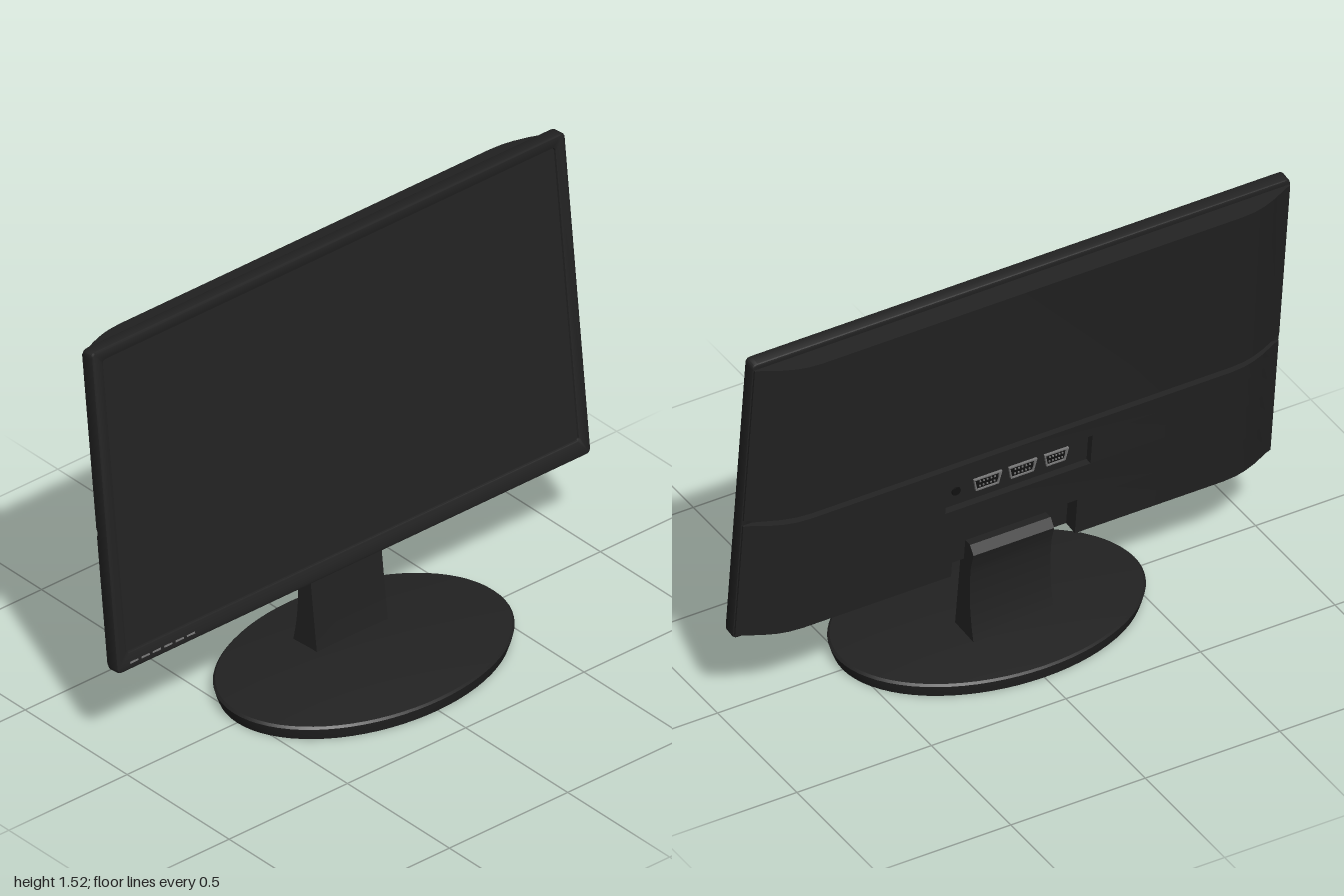
import * as THREE from 'three';
import { toCreasedNormals } from 'three/addons/utils/BufferGeometryUtils.js';

const mat = (name, color) => {
  const m = new THREE.MeshStandardMaterial({ color });
  m.name = name;
  return m;
};

export function createModel() {
  const plastic = mat('black plastic', 0x222222);
  const glass = mat('dark screen', 0x232323);
  const socket = mat('socket black', 0x121212);
  const grey = mat('grey marking', 0x777777);

  const model = new THREE.Group();
  model.name = 'monitor';
  const add = (parent, name, geo, material, x = 0, y = 0, z = 0) => {
    const m = new THREE.Mesh(geo, material);
    m.name = name;
    m.position.set(x, y, z);
    parent.add(m);
    return m;
  };
  const box = (parent, name, material, w, h, d, x, y, z) =>
    add(parent, name, new THREE.BoxGeometry(w, h, d), material, x, y, z);
  const polygon = (pts) => new THREE.Shape(pts.map(([x, y]) => new THREE.Vector2(x, y)));
  const roundedRect = (path, x0, y0, x1, y1, r) => {
    path.moveTo(x0 + r, y0);
    path.lineTo(x1 - r, y0).quadraticCurveTo(x1, y0, x1, y0 + r);
    path.lineTo(x1, y1 - r).quadraticCurveTo(x1, y1, x1 - r, y1);
    path.lineTo(x0 + r, y1).quadraticCurveTo(x0, y1, x0, y1 - r);
    path.lineTo(x0, y0 + r).quadraticCurveTo(x0, y0, x0 + r, y0);
    return path;
  };

  // Oval domed foot
  const footProfile = [[0, 0], [0.535, 0], [0.543, 0.02], [0.55, 0.043], [0.542, 0.051],
    [0.4, 0.066], [0.2, 0.078], [0, 0.082]].map(([x, y]) => new THREE.Vector2(x, y));
  const footGeo = new THREE.LatheGeometry(footProfile, 72);
  footGeo.scale(1, 1, 0.375 / 0.55);
  add(model, 'foot', toCreasedNormals(footGeo, 0.6), plastic);

  // Neck: side outline (backward, up) with a hollowed back and a flared top
  const neckShape = new THREE.Shape();
  neckShape.moveTo(0.055, 0.07);
  neckShape.lineTo(0.172, 0.07);
  neckShape.quadraticCurveTo(0.135, 0.22, 0.156, 0.36);
  neckShape.lineTo(0.172, 0.415);
  neckShape.lineTo(0.15, 0.445);
  neckShape.lineTo(0.095, 0.445);
  neckShape.lineTo(0.09, 0.36);
  const neckGeo = new THREE.ExtrudeGeometry(neckShape, { depth: 0.3, bevelEnabled: false, curveSegments: 12 });
  neckGeo.rotateY(Math.PI / 2).translate(-0.15, 0, 0);
  add(model, 'neck', toCreasedNormals(neckGeo, 0.4), plastic);

  // Tilted display: local y runs up the panel, -z runs back
  const display = new THREE.Group();
  display.name = 'display';
  display.position.set(0, 0.357, -0.045);
  display.rotation.x = -0.11;
  model.add(display);

  // Front frame with a screen opening
  const height = 1.17, bevel = 0.006;
  const frame = roundedRect(new THREE.Shape(), -1, 0, 1, height, 0.02);
  frame.holes.push(roundedRect(new THREE.Path(), -0.955, 0.064, 0.955, 1.129, 0.012));
  const frameGeo = new THREE.ExtrudeGeometry(frame, {
    depth: 0.05 - 2 * bevel, bevelThickness: bevel, bevelSize: bevel, bevelOffset: -bevel,
    bevelSegments: 2, curveSegments: 5,
  });
  frameGeo.translate(0, 0, -0.05 + bevel);
  add(display, 'bezel', toCreasedNormals(frameGeo, 0.5), plastic);
  box(display, 'screen', glass, 1.93, 1.08, 0.03, 0, 0.5965, -0.023);

  // Button marks along the lower edge
  for (let i = 0; i < 6; i++) {
    box(display, 'buttonMark', grey, 0.034, 0.006, 0.003, -0.93 + i * 0.048, 0.024, 0.0005);
  }

  // Rear shell: horizontal bands of one curved cross-section (x, depth)
  const curve = [[0.995, 0.045], [0.995, 0.056], [0.975, 0.062], [0.92, 0.089],
    [0.87, 0.107], [0.83, 0.116], [0.78, 0.12]];
  const band = (name, y0, y1, gap = 0, inset = 0) => {
    const half = curve.map(([x, d]) => [x, Math.max(0.045, d - inset)]);
    const mirror = (pts) => pts.map(([x, d]) => [-x, d]).reverse();
    const side = [...half, [gap, 0.12 - inset], [gap, 0.045]];
    const outlines = gap ? [side, mirror(side)] : [[...half, ...mirror(half)]];
    for (const pts of outlines) {
      const geo = new THREE.ExtrudeGeometry(polygon(pts), { depth: y1 - y0, bevelEnabled: false });
      geo.rotateX(-Math.PI / 2);
      add(display, name, toCreasedNormals(geo, 0.5), plastic, 0, y0, 0);
    }
  };
  band('upperShell', 0.508, 1.15);
  band('shellGroove', 0.485, 0.508, 0, 0.025);
  band('lowerShell', 0.42, 0.485);
  band('portRecessSide', 0.3, 0.42, 0.27);
  band('lowerShell', 0.16, 0.3);
  band('neckNotchSide', 0.017, 0.16, 0.23);
  box(display, 'portRecessFloor', plastic, 0.54, 0.12, 0.05, 0, 0.36, -0.07);
  box(display, 'neckNotchFloor', plastic, 0.46, 0.143, 0.02, 0, 0.0885, -0.055);

  // Sockets on the recess floor
  const floorZ = -0.095;
  const addPort = (x, w, h) => {
    const port = new THREE.Group();
    port.name = 'port';
    port.position.set(x, 0.36, floorZ);
    display.add(port);
    const outline = (s) => [[-w / 2 + s, h / 2 - s], [-w / 2 + 0.01 + s, -h / 2 + s],
      [w / 2 - 0.01 - s, -h / 2 + s], [w / 2 - s, h / 2 - s]];
    const rim = polygon(outline(0));
    rim.holes.push(polygon(outline(0.005)));
    const rimGeo = new THREE.ExtrudeGeometry(rim, { depth: 0.008, bevelEnabled: false });
    add(port, 'portRim', rimGeo, grey, 0, 0, -0.008);
    box(port, 'portInset', socket, w - 0.022, h - 0.01, 0.003, 0, 0, -0.0015);
    for (let r = 0; r < 2; r++) {
      for (let i = 0; i < 5; i++) {
        box(port, 'portPin', grey, 0.005, 0.005, 0.006, (i - 2) * w * 0.13, (r - 0.5) * 0.018, -0.004);
      }
    }
  };
  addPort(0.105, 0.105, 0.05);
  addPort(-0.025, 0.105, 0.05);
  addPort(-0.15, 0.09, 0.05);

  // Round power socket
  const jack = add(display, 'powerSocket', new THREE.CylinderGeometry(0.016, 0.016, 0.006, 20), socket, 0.22, 0.36, floorZ - 0.002);
  jack.rotation.x = Math.PI / 2;

  return model;
}
